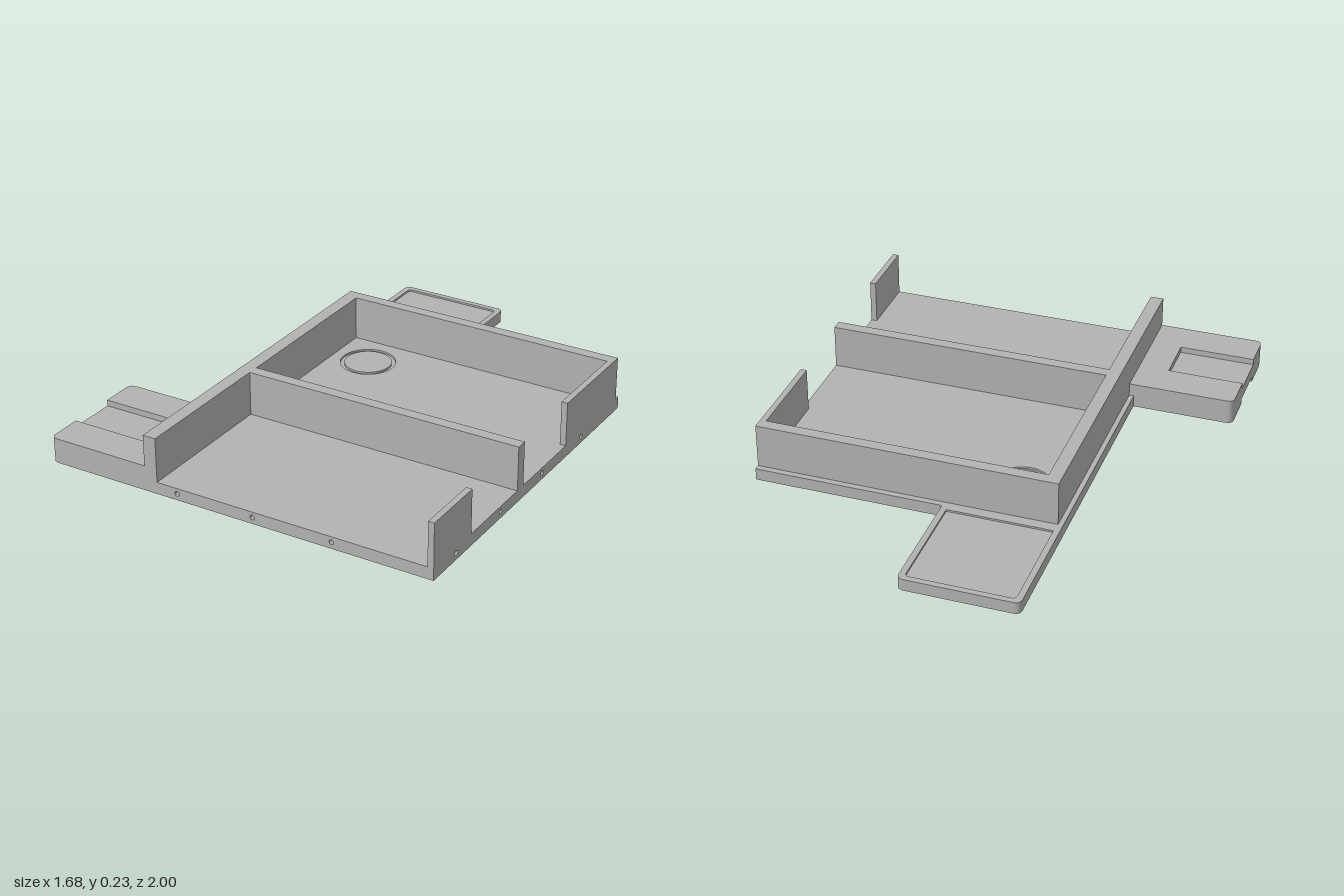
import * as THREE from 'three';

const grey = new THREE.MeshStandardMaterial({ color: 0xb2b2b2 });
grey.name = 'plainGrey';

// Closed path through [x, z] points; an optional third value rounds that corner
function trace(path, points) {
  const n = points.length;
  points.forEach(([x, z, r = 0], i) => {
    const toward = ([px, pz]) => {
      const d = Math.hypot(px - x, pz - z);
      return [x + (px - x) * r / d, -(z + (pz - z) * r / d)];
    };
    const a = toward(points[(i + n - 1) % n]);
    const b = toward(points[(i + 1) % n]);
    if (i === 0) path.moveTo(...a); else path.lineTo(...a);
    if (r) path.quadraticCurveTo(x, -z, ...b);
  });
  path.closePath();
  return path;
}

export function createModel() {
  const model = new THREE.Group();
  model.name = 'tray';

  function add(name, geometry) {
    const mesh = new THREE.Mesh(geometry, grey);
    mesh.name = name;
    model.add(mesh);
    return mesh;
  }

  // Horizontal slab with the given footprint between two heights
  function slab(name, shape, y0, y1) {
    const g = new THREE.ExtrudeGeometry(shape, { depth: y1 - y0, bevelEnabled: false, curveSegments: 32 });
    g.rotateX(-Math.PI / 2).translate(0, y0, 0);
    return add(name, g);
  }

  function box(name, x0, x1, y0, y1, z0, z1) {
    const g = new THREE.BoxGeometry(x1 - x0, y1 - y0, z1 - z0);
    g.translate((x0 + x1) / 2, (y0 + y1) / 2, (z0 + z1) / 2);
    return add(name, g);
  }

  // Floor with the rear tab, in two layers so the shallow recesses have a bottom
  const floor = 0.05, recess = 0.042;
  const outline = [
    [-0.42, -1, 0.03], [-0.42, 0.49], [-0.4, 0.49], [-0.4, 0.95],
    [0.79, 0.95], [0.79, -0.51], [0.06, -0.51], [0.06, -1, 0.03],
  ];
  slab('floorBase', trace(new THREE.Shape(), outline), 0, recess);

  const top = trace(new THREE.Shape(), outline);
  const ringX = -0.185, ringZ = -0.267;
  top.holes.push(
    trace(new THREE.Path(), [[-0.395, -0.975, 0.02], [0.035, -0.975, 0.02], [0.035, -0.53], [-0.395, -0.53]]),
    new THREE.Path().absarc(ringX, -ringZ, 0.115, 0, Math.PI * 2, true),
  );
  slab('floorTop', top, recess, floor);
  slab('ringCentre', new THREE.Shape().absarc(ringX, -ringZ, 0.098, 0, Math.PI * 2), recess, floor);

  // Edge strips of the floor, pierced by small round holes
  function strip(name, from, to, holes) {
    const s = new THREE.Shape();
    s.moveTo(from, 0).lineTo(to, 0).lineTo(to, floor).lineTo(from, floor).closePath();
    for (const h of holes) s.holes.push(new THREE.Path().absarc(h, 0.027, 0.01, 0, Math.PI * 2, true));
    return add(name, new THREE.ExtrudeGeometry(s, { depth: 0.05, bevelEnabled: false }));
  }
  strip('frontEdge', -0.4, 0.84, [-0.255, 0.08, 0.42]).position.z = 0.95;
  const side = strip('leftEdge', -0.95, 0.51, [-0.835, -0.5, -0.165, 0.17]);
  side.rotation.y = Math.PI / 2;
  side.position.x = 0.79;

  // Walls
  const wallTop = 0.235;
  box('rightWall', -0.4, -0.345, floor, wallTop, -0.485, 1);
  box('backWall', -0.345, 0.84, floor, wallTop, -0.485, -0.437);
  box('dividerWall', -0.345, 0.84, floor, wallTop, 0.32, 0.368);
  box('rearEndWall', 0.815, 0.84, floor, wallTop, -0.437, -0.035);
  box('frontEndWall', 0.815, 0.84, floor, wallTop, 0.725, 1);

  // Side block with a channel above and below, both open to the outer side
  function blockLayer(name, y0, y1, channel) {
    const points = [[-0.84, 0.49, 0.03]];
    if (channel) {
      const [z0, z1] = channel;
      points.push([-0.84, z0], [-0.525, z0], [-0.525, z1], [-0.84, z1]);
    }
    points.push([-0.84, 1, 0.03], [-0.4, 1], [-0.4, 0.49]);
    slab(name, trace(new THREE.Shape(), points), y0, y1);
  }
  blockLayer('sideBlockBottom', 0, 0.025, [0.65, 0.84]);
  blockLayer('sideBlockMiddle', 0.025, 0.08);
  blockLayer('sideBlockTop', 0.08, 0.105, [0.645, 0.845]);

  return model;
}
